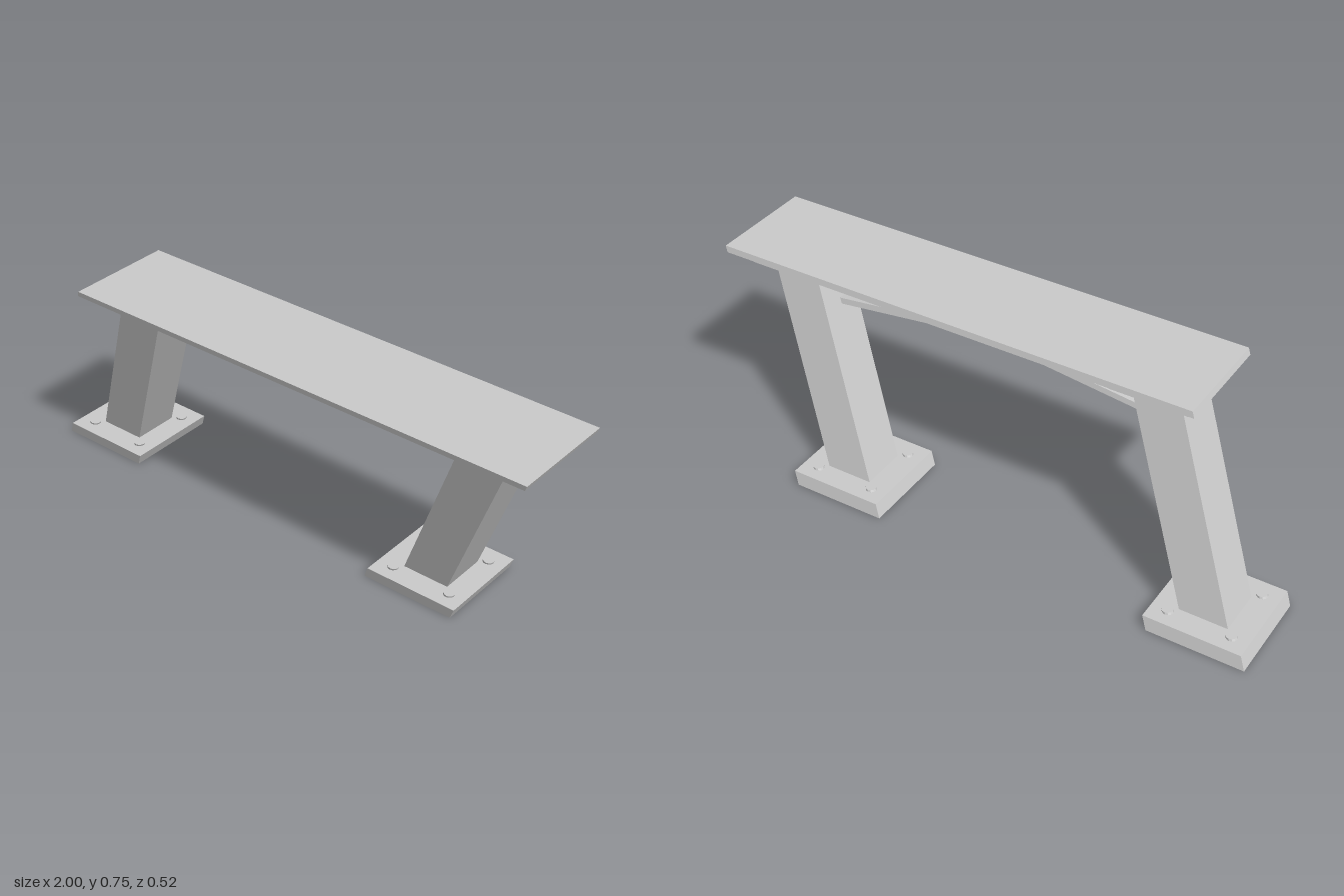
import * as THREE from 'three';

const LEAN_X = 0.43, LEAN_Z = 0.229;      // sideways drift per unit of height
const MID_X = -0.1725, MID_Z = -0.096;    // centre of the footprint on the ground
const LEG_X = 0.6625;                     // half the distance between the legs

export function createModel() {
  const model = new THREE.Group();
  model.name = 'leaningBench';
  const material = new THREE.MeshStandardMaterial({ color: 0xcccccc, flatShading: true });

  // Leans every part by the same rule, so it is drawn upright first
  const lean = new THREE.Matrix4().set(
    1, LEAN_X, 0, MID_X,
    0, 1, 0, 0,
    0, LEAN_Z, 1, MID_Z,
    0, 0, 0, 1);

  const add = (name, geometry, parent = model) => {
    geometry.applyMatrix4(lean);
    geometry.computeVertexNormals();
    const mesh = new THREE.Mesh(geometry, material);
    mesh.name = name;
    parent.add(mesh);
  };

  // Box standing between two heights
  const slab = (x, width, depth, y0, y1) =>
    new THREE.BoxGeometry(width, y1 - y0, depth).translate(x, (y0 + y1) / 2, 0);

  // Seat board
  add('seat', slab(0, 1.698, 0.372, 0.733, 0.753));

  for (const side of [-1, 1]) {
    const x = side * LEG_X;
    const support = new THREE.Group();
    support.name = side < 0 ? 'rightSupport' : 'leftSupport';
    model.add(support);

    // Foot plate, leg and cap plate
    add('footPlate', slab(x, 0.332, 0.332, 0, 0.045), support);
    add('leg', slab(x, 0.166, 0.166, 0.045, 0.695), support);
    add('capPlate', slab(x, 0.266, 0.266, 0.695, 0.733), support);

    // Bolt heads at the corners of the foot plate
    for (const bx of [-1, 1]) {
      for (const bz of [-1, 1]) {
        const bolt = new THREE.CylinderGeometry(0.019, 0.019, 0.008, 12)
          .translate(x + bx * 0.108, 0.048, bz * 0.108);
        add('bolt', bolt, support);
      }
    }
  }

  // Crossed braces between the legs
  for (const side of [-1, 1]) {
    const brace = new THREE.BoxGeometry(1.13, 0.018, 0.038)
      .rotateZ(side * Math.atan2(0.058, 0.562))
      .translate(0, 0.648, 0);
    add('crossBrace', brace);
  }

  return model;
}
